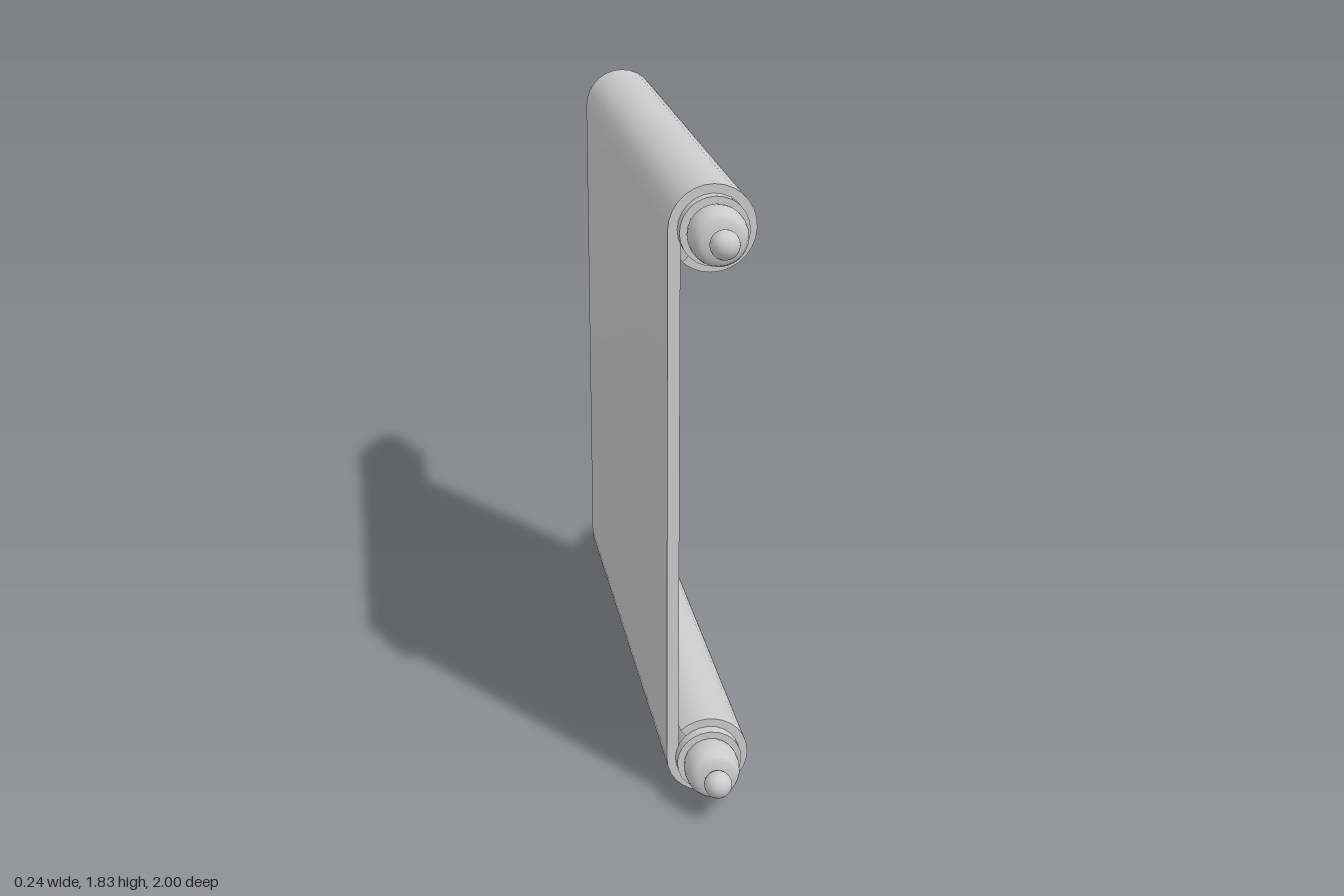
import * as THREE from 'three';
import { toCreasedNormals } from 'three/addons/utils/BufferGeometryUtils.js';

const LOW = 0.12, HIGH = 1.715;      // heights of the two roller axes
const OUTER = 0.12, INNER = 0.086;   // paper roll radii
const HALF = 0.8;                    // half width of the paper

export function createModel() {
  const model = new THREE.Group();
  model.name = 'scroll';
  const material = new THREE.MeshStandardMaterial({ color: 0xcccccc });

  const add = (parent, name, geometry) => {
    const mesh = new THREE.Mesh(geometry, material);
    mesh.name = name;
    parent.add(mesh);
    return mesh;
  };

  // Paper: one strip curling round both rollers, extruded along z
  const curl = THREE.MathUtils.degToRad(312);
  const strip = new THREE.Shape();
  strip.moveTo(-OUTER, LOW);
  strip.lineTo(-OUTER, HIGH);
  strip.absarc(0, HIGH, OUTER, Math.PI, Math.PI - curl, true);
  strip.absarc(0, HIGH, INNER, Math.PI - curl, Math.PI, false);
  strip.lineTo(-INNER, LOW);
  strip.absarc(0, LOW, INNER, Math.PI, Math.PI + curl, false);
  strip.absarc(0, LOW, OUTER, Math.PI + curl, Math.PI, true);
  const paper = new THREE.ExtrudeGeometry(strip, { depth: 2 * HALF, bevelEnabled: false, curveSegments: 12 });
  paper.translate(0, 0, -HALF);
  add(model, 'paper', toCreasedNormals(paper, 0.6));

  // Rounded cap profile: radius, distance from its base
  const capProfile = [
    [0.074, 0], [0.078, 0.012], [0.08, 0.03], [0.079, 0.052], [0.075, 0.072],
    [0.067, 0.088], [0.055, 0.096], [0.03, 0.101], [0, 0.102],
  ].map(([r, h]) => new THREE.Vector2(r, h));

  // Rollers: a rod with a collar, cap and knob at each end
  for (const [name, y] of [['lowerRoller', LOW], ['upperRoller', HIGH]]) {
    const roller = new THREE.Group();
    roller.name = name;
    roller.position.y = y;
    roller.rotation.x = Math.PI / 2;
    model.add(roller);

    add(roller, 'rod', new THREE.CylinderGeometry(0.084, 0.084, 2 * HALF, 24));

    for (const turn of [0, Math.PI]) {
      const end = new THREE.Group();
      end.name = turn ? 'backEnd' : 'frontEnd';
      end.rotation.x = turn;
      roller.add(end);
      add(end, 'collar', new THREE.CylinderGeometry(0.095, 0.095, 0.034, 24)).position.y = HALF + 0.015;
      add(end, 'cap', new THREE.LatheGeometry(capProfile, 24)).position.y = HALF + 0.032;
      add(end, 'knob', new THREE.SphereGeometry(0.04, 20, 14)).position.y = 0.96;
    }
  }
  return model;
}
